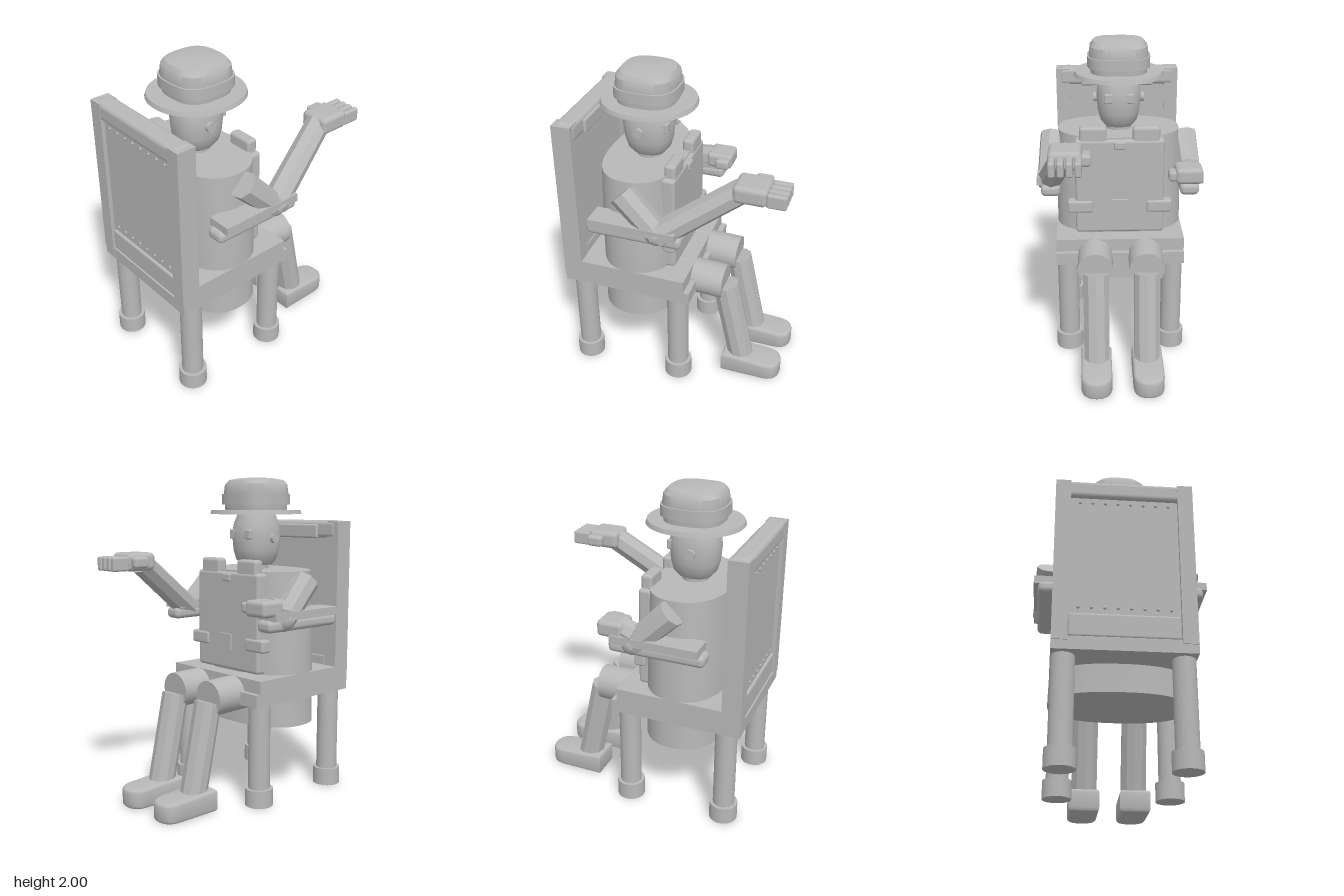
import * as THREE from 'three';
import { toCreasedNormals } from 'three/addons/utils/BufferGeometryUtils.js';
import { RoundedBoxGeometry } from 'three/addons/geometries/RoundedBoxGeometry.js';

const grey = new THREE.MeshStandardMaterial({ color: 0xb8b8b8 });
grey.name = 'plain grey';

export function createModel() {
  const model = new THREE.Group();
  model.name = 'seatedFigure';

  const add = (name, geo, x = 0, y = 0, z = 0, parent = model) => {
    const mesh = new THREE.Mesh(geo, grey);
    mesh.name = name;
    mesh.position.set(x, y, z);
    parent.add(mesh);
    return mesh;
  };

  // Box given by its limits; a radius rounds the edges
  const box = (name, [x0, x1], [y0, y1], [z0, z1], r = 0, parent = model) => {
    const [w, h, d] = [x1 - x0, y1 - y0, z1 - z0];
    const geo = r ? new RoundedBoxGeometry(w, h, d, 3, r) : new THREE.BoxGeometry(w, h, d);
    return add(name, geo, (x0 + x1) / 2, (y0 + y1) / 2, (z0 + z1) / 2, parent);
  };

  // Closed loft of [radius, y] rings, squared off by exponent n
  const loft = (name, profile, sx, sz, n, z) => {
    const points = [[0, profile[0][0 + 1]], ...profile, [0, profile[profile.length - 1][1]]]
      .map(([r, y]) => new THREE.Vector2(r, y));
    const geo = new THREE.LatheGeometry(points, 48);
    const p = geo.attributes.position;
    for (let i = 0; i < p.count; i++) {
      const a = Math.atan2(p.getZ(i), p.getX(i));
      const k = (Math.abs(Math.cos(a)) ** n + Math.abs(Math.sin(a)) ** n) ** (-1 / n);
      p.setXYZ(i, p.getX(i) * k * sx, p.getY(i), p.getZ(i) * k * sz);
    }
    return add(name, toCreasedNormals(geo, 0.6), 0, 0, z);
  };

  // Straight limb between two points
  const limb = (name, from, to, r0, r1, sides = 10) => {
    const a = new THREE.Vector3(...from), b = new THREE.Vector3(...to);
    const dir = b.clone().sub(a);
    const geo = toCreasedNormals(new THREE.CylinderGeometry(r1, r0, dir.length(), sides), 0.5);
    const mesh = add(name, geo, ...a.clone().add(b).multiplyScalar(0.5).toArray());
    mesh.quaternion.setFromUnitVectors(new THREE.Vector3(0, 1, 0), dir.normalize());
    return mesh;
  };

  // Chair seat
  box('seatFrame', [-0.405, 0.405], [0.635, 0.715], [-0.135, 0.69]);
  box('seatBoard', [-0.405, 0.405], [0.715, 0.795], [-0.1, 0.59]);

  // Chair back
  for (const s of [-1, 1]) {
    const post = box('backPost', [-0.045, 0.045], [0.69, 1.73], [0.575, 0.695]);
    post.position.x = s * 0.36;
  }
  box('backPanel', [-0.315, 0.315], [0.715, 1.7], [0.585, 0.67]);
  box('topRail', [-0.385, 0.385], [1.62, 1.735], [0.57, 0.692], 0.03);
  box('lowerRail', [-0.315, 0.315], [0.715, 0.86], [0.58, 0.685], 0.015);
  box('headPad', [-0.24, 0.24], [1.62, 1.71], [0.555, 0.59], 0.012);
  for (const y of [0.9, 1.59]) {
    for (let i = 0; i < 8; i++) {
      add('rivet', new THREE.SphereGeometry(0.01, 8, 6), -0.26 + i * 0.0743, y, 0.67);
    }
  }

  // Chair legs with feet, and arm rests
  for (const s of [-1, 1]) {
    for (const z of [-0.04, 0.59]) {
      add('chairLeg', new THREE.CylinderGeometry(0.067, 0.067, 0.635, 24), s * 0.335, 0.3175, z);
      add('chairFoot', new THREE.CylinderGeometry(0.087, 0.087, 0.11, 24), s * 0.335, 0.055, z);
    }
    const rest = box('armRest', [-0.075, 0.075], [1.16, 1.21], [-0.085, 0.455]);
    rest.position.x = s * 0.44;
    const pad = box('armRestPad', [-0.06, 0.06], [1.09, 1.165], [-0.11, 0.485], 0.03);
    pad.position.x = s * 0.43;
  }

  // Body, running down through the seat
  loft('torso', [[0.41, 0.465], [0.405, 0.64], [0.405, 0.8], [0.4, 1.1], [0.385, 1.43]], 1, 0.63, 2.4, 0.26);
  box('chestPlate', [-0.28, 0.28], [0.8, 1.42], [-0.005, 0.08], 0.02);
  box('buckle', [-0.05, 0.05], [0.93, 1.03], [-0.02, 0.02]);
  box('collarTab', [-0.035, 0.035], [1.36, 1.41], [-0.018, 0.02], 0.01);
  for (const s of [-1, 1]) {
    const strap = box('shoulderStrap', [-0.085, 0.085], [1.38, 1.5], [0, 0.07], 0.02);
    strap.position.x = s * 0.165;
    const tab = box('sideTab', [-0.08, 0.08], [0.94, 1.02], [-0.015, 0.06], 0.015);
    tab.position.x = s * 0.25;
  }

  // Head
  add('neck', new THREE.CylinderGeometry(0.08, 0.08, 0.1, 24), 0, 1.43, 0.25);
  loft('head', [[0.1, 1.455], [0.13, 1.49], [0.147, 1.55], [0.155, 1.64], [0.147, 1.71], [0.12, 1.78]], 0.9, 1, 2.3, 0.25);
  for (const s of [-1, 1]) {
    const ear = add('ear', new THREE.CylinderGeometry(0.03, 0.03, 0.04, 16), s * 0.14, 1.625, 0.265);
    ear.rotation.z = Math.PI / 2;
    const eye = box('eye', [-0.028, 0.028], [1.62, 1.68], [0.1, 0.14], 0.008);
    eye.position.x = s * 0.065;
  }

  // Hat
  loft('hatBrim', [[0.28, 1.775], [0.272, 1.8]], 1, 1.05, 2.1, 0.245);
  loft('hatCrown', [[0.175, 1.79], [0.185, 1.9], [0.178, 1.96], [0.155, 1.988], [0.09, 2]], 1, 1, 2.9, 0.245);
  loft('hatBand', [[0.195, 1.835], [0.195, 1.9]], 1, 1, 2.9, 0.245);

  // Upper arms and elbows
  for (const s of [-1, 1]) {
    limb('upperArm', [s * 0.42, 1.375, 0.265], [s * 0.445, 1.15, 0.04], 0.085, 0.075, 8);
    add('elbow', new THREE.SphereGeometry(0.075, 16, 12), s * 0.445, 1.16, 0.04);
  }

  // Hand with fingers pointing to -z, palm centre at its origin
  const hand = (name, side) => {
    const group = new THREE.Group();
    group.name = name;
    model.add(group);
    box('palm', [-0.095, 0.095], [-0.055, 0.055], [-0.1, 0.1], 0.03, group);
    const thumb = box('thumb', [-0.03, 0.03], [-0.035, 0.035], [-0.09, 0.015], 0.02, group);
    thumb.position.x = -side * 0.115;
    return group;
  };

  // Raised arm
  limb('raisedForearm', [0.445, 1.15, 0.04], [0.325, 1.48, -0.43], 0.08, 0.075, 8);
  const raised = hand('raisedHand', 1);
  raised.position.set(0.32, 1.49, -0.485);
  for (let i = 0; i < 4; i++) {
    const x = -0.075 + i * 0.048;
    box('finger', [x - 0.019, x + 0.019], [-0.05, 0.035], [-0.21, -0.095], 0.012, raised);
  }

  // Resting arm
  limb('restingForearm', [-0.445, 1.2, 0.06], [-0.42, 1.23, -0.05], 0.075, 0.07, 8);
  const resting = hand('restingHand', -1);
  resting.position.set(-0.42, 1.235, -0.09);
  resting.scale.set(0.88, 0.9, 0.82);

  // Legs and shoes
  for (const s of [-1, 1]) {
    limb('thigh', [s * 0.16, 0.69, 0.02], [s * 0.16, 0.68, -0.3], 0.11, 0.11, 20);
    limb('shin', [s * 0.157, 0.66, -0.3], [s * 0.157, 0.08, -0.425], 0.083, 0.083, 10);

    // Sole outline with a round toe
    const sole = new THREE.Shape();
    sole.moveTo(-0.075, -0.33);
    sole.lineTo(0.075, -0.33);
    sole.lineTo(0.075, -0.59);
    sole.quadraticCurveTo(0.075, -0.67, 0, -0.67);
    sole.quadraticCurveTo(-0.075, -0.67, -0.075, -0.59);
    const geo = new THREE.ExtrudeGeometry(sole, {
      depth: 0.1, bevelThickness: 0.02, bevelSize: 0.02, bevelSegments: 3, curveSegments: 8,
    });
    // Lay the outline flat and slope the toe down
    geo.rotateX(Math.PI / 2);
    geo.scale(1, 1, 1);
    const p = geo.attributes.position;
    for (let i = 0; i < p.count; i++) {
      const y = p.getY(i) + 0.12, z = p.getZ(i);
      p.setXYZ(i, p.getX(i), y > 0.08 ? y - 0.02 * (-z - 0.33) / 0.36 : y, z);
    }
    add('shoe', toCreasedNormals(geo, 0.6), s * 0.16, 0, 0);
  }

  return model;
}
